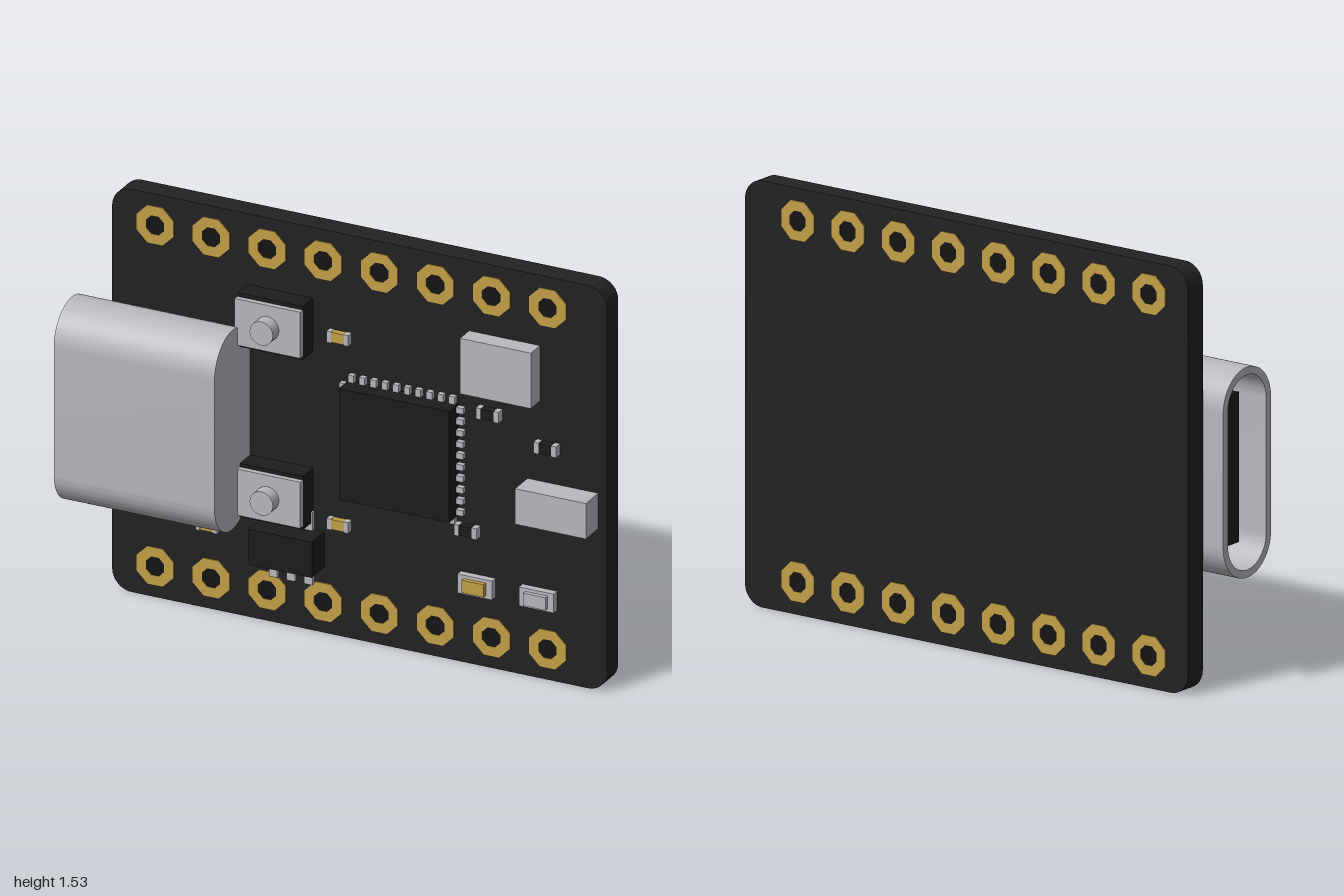
import * as THREE from 'three';
import { toCreasedNormals } from 'three/addons/utils/BufferGeometryUtils.js';

const mat = (name, color) => {
  const m = new THREE.MeshStandardMaterial({ color });
  m.name = name;
  return m;
};

// Closed rounded rectangle, usable as outline or hole
function roundedRect(Type, x0, y0, x1, y1, r) {
  const s = new Type();
  s.absarc(x1 - r, y0 + r, r, -Math.PI / 2, 0);
  s.absarc(x1 - r, y1 - r, r, 0, Math.PI / 2);
  s.absarc(x0 + r, y1 - r, r, Math.PI / 2, Math.PI);
  s.absarc(x0 + r, y0 + r, r, Math.PI, Math.PI * 1.5);
  s.closePath();
  return s;
}

export function createModel() {
  const board = mat('boardBlack', 0x222222);
  const plastic = mat('plasticBlack', 0x1c1c1c);
  const hole = mat('holeBlack', 0x141414);
  const metal = mat('metalGrey', 0xb8b9be);
  const gold = mat('gold', 0xc49f48);

  const root = new THREE.Group();
  const BACK = -0.18, FACE = -0.095;

  const add = (name, geo, material, x = 0, y = 0, z = 0, parent = root) => {
    const mesh = new THREE.Mesh(geo, material);
    mesh.name = name;
    mesh.position.set(x, y, z);
    parent.add(mesh);
    return mesh;
  };
  // Box given by its front rectangle and its depth range
  const box = (name, material, x0, x1, y0, y1, z1, z0 = FACE, parent = root) =>
    add(name, new THREE.BoxGeometry(x1 - x0, y1 - y0, z1 - z0), material,
      (x0 + x1) / 2, (y0 + y1) / 2, (z0 + z1) / 2, parent);
  const group = (name) => {
    const g = new THREE.Group();
    g.name = name;
    root.add(g);
    return g;
  };

  // Circuit board
  const boardGeo = new THREE.ExtrudeGeometry(
    roundedRect(THREE.Shape, -0.912, 0, 0.998, 1.533, 0.075),
    { depth: FACE - BACK, bevelEnabled: false, curveSegments: 6 });
  add('circuitBoard', toCreasedNormals(boardGeo, 0.5), board, 0, 0, BACK);

  // Pin pads: octagonal gold rings on both faces around dark holes
  const octagon = (Type, r) => {
    const pts = [];
    for (let i = 0; i < 8; i++) {
      const a = (i + 0.5) * Math.PI / 4;
      pts.push(new THREE.Vector2(r * Math.cos(a), r * Math.sin(a)));
    }
    return new Type(pts);
  };
  const ringShape = octagon(THREE.Shape, 0.077);
  ringShape.holes.push(octagon(THREE.Path, 0.038));
  const ringGeo = new THREE.ExtrudeGeometry(ringShape,
    { depth: FACE - BACK + 0.008, bevelEnabled: false });
  const plugGeo = new THREE.CylinderGeometry(0.039, 0.039, FACE - BACK + 0.004, 12)
    .rotateX(Math.PI / 2);
  const pads = group('pinPads');
  for (const y of [0.118, 1.416]) {
    for (let i = 0; i < 8; i++) {
      const x = -0.745 + i * 0.2163;
      add('padRing', ringGeo, gold, x, y, BACK - 0.004, pads);
      add('padHole', plugGeo, hole, x, y, (BACK + FACE) / 2, pads);
    }
  }

  // Port shell: hollow stadium open to -x, with a closed inner end
  const port = group('port');
  const outline = () => roundedRect(THREE.Shape, -0.1375, 0.39, 0.1375, 1.147, 0.137);
  const tubeShape = outline();
  tubeShape.holes.push(roundedRect(THREE.Path, -0.11, 0.418, 0.11, 1.119, 0.109));
  const stadium = (name, shape, x, depth) => {
    const geo = new THREE.ExtrudeGeometry(shape, { depth, bevelEnabled: false, curveSegments: 12 });
    geo.rotateY(-Math.PI / 2); // extrusion runs toward -x, width along z
    add(name, toCreasedNormals(geo, 0.5), metal, x, 0, 0.0425, port);
  };
  stadium('portShell', tubeShape, -0.41, 0.59);
  stadium('portEnd', outline(), -0.38, 0.03);
  box('portTongue', plastic, -0.94, -0.40, 0.50, 1.04, 0.075, 0.01, port);

  // Push buttons
  const capGeo = new THREE.CylinderGeometry(0.045, 0.045, 0.05, 24).rotateX(Math.PI / 2);
  for (const y of [1.162, 0.515]) {
    const b = group('pushButton');
    box('buttonBody', plastic, -0.39, -0.138, y - 0.102, y + 0.102, -0.018, FACE, b);
    box('buttonPlate', metal, -0.392, -0.138, y - 0.088, y + 0.088, 0.002, -0.018, b);
    add('buttonCap', toCreasedNormals(capGeo, 0.6), metal, -0.265, y, 0.024, b);
  }

  // Main chip with ten pins on each side
  const chip = group('mainChip');
  box('chipBody', plastic, 0.0, 0.425, 0.556, 0.98, -0.02, FACE, chip);
  for (let i = 0; i < 10; i++) {
    const d = (i - 4.5) * 0.0432, cx = 0.2125, cy = 0.768;
    for (const s of [-1, 1]) {
      const px = cx + s * 0.225, py = cy + s * 0.228;
      box('chipPin', metal, cx + d - 0.011, cx + d + 0.011, py - 0.014, py + 0.014, -0.075, FACE, chip);
      box('chipPin', metal, px - 0.014, px + 0.014, cy + d - 0.011, cy + d + 0.011, -0.075, FACE, chip);
    }
  }

  // Regulator with three legs above and below
  const reg = group('regulator');
  box('regulatorBody', plastic, -0.337, -0.092, 0.25, 0.385, 0.005, FACE, reg);
  for (const x of [-0.284, -0.216, -0.148]) {
    box('regulatorLeg', metal, x - 0.016, x + 0.016, 0.178, 0.255, -0.08, FACE, reg);
    box('regulatorLeg', metal, x - 0.016, x + 0.016, 0.38, 0.455, -0.08, FACE, reg);
  }

  // Metal cans
  box('crystalCan', metal, 0.465, 0.738, 1.054, 1.265, -0.025);
  box('antennaBlock', metal, 0.69, 0.963, 0.615, 0.75, 0.0);

  // Small two-ended parts: metal ends around a coloured middle
  const twoEnded = (name, middle, x, y, w, h, end, top) => {
    const g = group(name);
    const x0 = x - w / 2, x1 = x + w / 2, y0 = y - h / 2, y1 = y + h / 2;
    box('leftEnd', metal, x1 - end, x1, y0, y1, top, FACE, g);
    box('rightEnd', metal, x0, x0 + end, y0, y1, top, FACE, g);
    box('middle', middle, x0 + end, x1 - end, y0 + 0.002, y1 - 0.002, top - 0.002, FACE, g);
  };
  for (const [x, y] of [[0.55, 0.972], [0.772, 0.887], [0.465, 0.511]])
    twoEnded('resistor', plastic, x, y, 0.088, 0.042, 0.019, -0.065);
  for (const [x, y] of [[-0.03, 1.142], [-0.03, 0.43], [-0.536, 0.323]])
    twoEnded('capacitor', gold, x, y, 0.084, 0.042, 0.017, -0.068);

  // Indicator lamps
  for (const [x, lens] of [[0.5, gold], [0.738, metal]]) {
    const g = group('lamp');
    box('lampBase', metal, x - 0.067, x + 0.067, 0.272, 0.344, -0.068, FACE, g);
    box('lampLens', lens, x - 0.043, x + 0.043, 0.284, 0.332, -0.052, -0.068, g);
  }

  return root;
}
